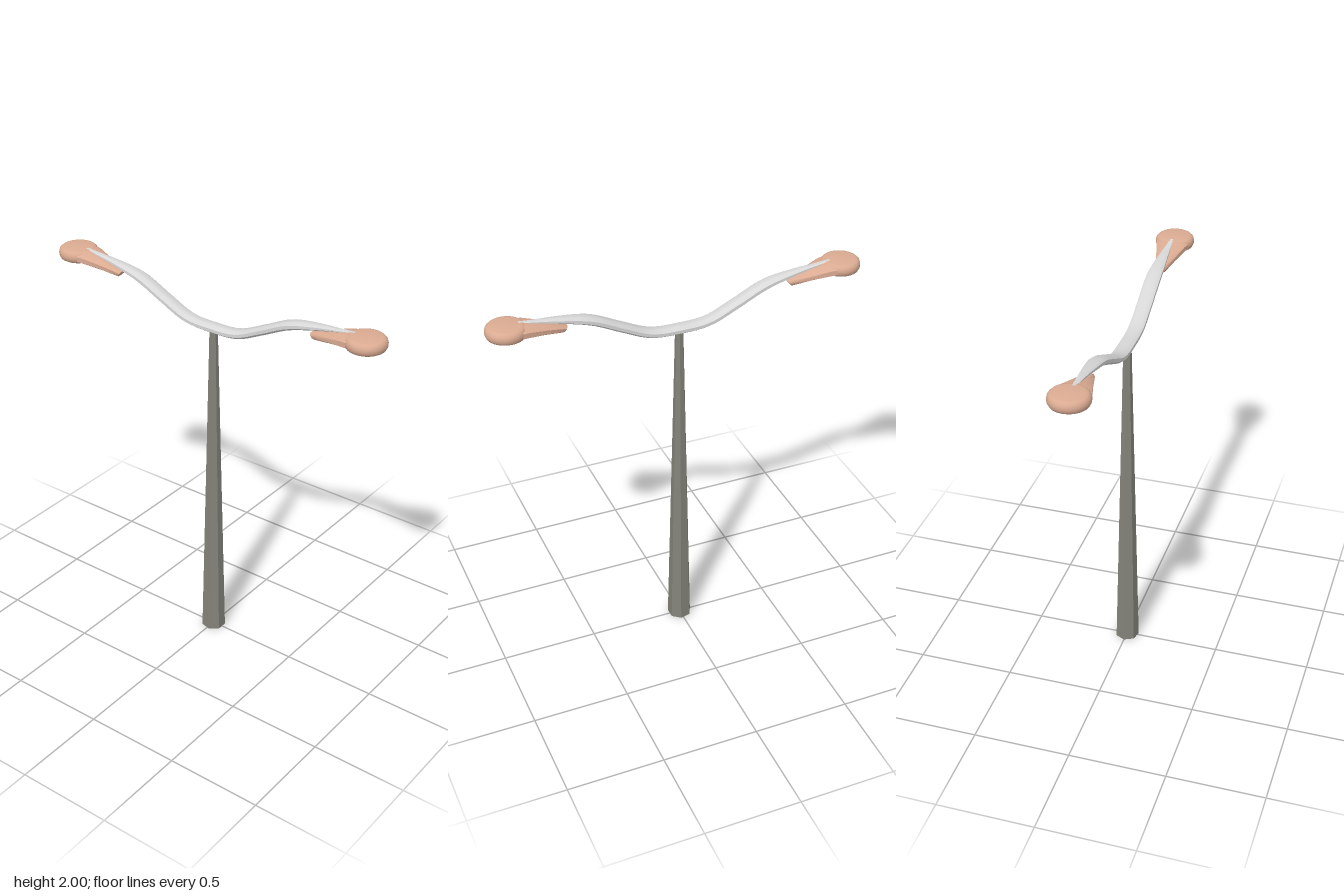
import * as THREE from 'three';
import { toCreasedNormals } from 'three/addons/utils/BufferGeometryUtils.js';

// Bevelled cross-section in unit half-width / half-height
const SECTION = [[1, -0.4], [1, 0.4], [0.55, 1], [-0.55, 1], [-1, 0.4], [-1, -0.4], [-0.55, -1], [0.55, -1]];

// Skin a row of sections { y, z, w, h, tilt } running towards +z
function loft(sections, crease) {
  const pos = [], idx = [], n = SECTION.length;
  for (const { y, z, w, h, tilt } of sections) {
    for (const [u, v] of SECTION) {
      pos.push(u * w, y + v * h * Math.cos(tilt), z - v * h * Math.sin(tilt));
    }
  }
  const last = (sections.length - 1) * n;
  for (let i = 0; i < last; i += n) {
    for (let j = 0; j < n; j++) {
      const k = (j + 1) % n;
      idx.push(i + j, i + k, i + n + k, i + j, i + n + k, i + n + j);
    }
  }
  for (let j = 1; j < n - 1; j++) {
    idx.push(0, j + 1, j, last, last + j, last + j + 1);
  }
  const g = new THREE.BufferGeometry();
  g.setAttribute('position', new THREE.Float32BufferAttribute(pos, 3));
  g.setIndex(idx);
  return toCreasedNormals(g, crease);
}

export function createModel() {
  const model = new THREE.Group();
  model.name = 'doubleStreetLamp';

  const poleGrey = new THREE.MeshStandardMaterial({ color: 0x83837a });
  poleGrey.name = 'pole grey';
  const armGrey = new THREE.MeshStandardMaterial({ color: 0xd8d8d8 });
  armGrey.name = 'arm light grey';
  const copper = new THREE.MeshStandardMaterial({ color: 0xdbab92 });
  copper.name = 'lamp copper';

  const add = (parent, geometry, material, name) => {
    const mesh = new THREE.Mesh(geometry, material);
    mesh.name = name;
    parent.add(mesh);
    return mesh;
  };

  // Tapered seven-sided pole, flat side to the front
  const poleGeo = new THREE.CylinderGeometry(0.021, 0.063, 1.78, 7).rotateY(Math.PI).translate(0, 0.89, 0);
  add(model, toCreasedNormals(poleGeo, 0.5), poleGrey, 'pole');

  // Swept arm: one half of the curve, mirrored through the pole top
  const half = [[0.15, 1.8], [0.3, 1.865], [0.45, 1.935], [0.6, 1.968], [0.72, 1.985], [0.8, 1.995]];
  const points = [
    ...half.map(([z, y]) => new THREE.Vector3(0, y, -z)).reverse(),
    new THREE.Vector3(0, 1.79, 0),
    ...half.map(([z, y]) => new THREE.Vector3(0, y, z)),
  ];
  const curve = new THREE.CatmullRomCurve3(points);
  const armSections = [];
  for (let i = 0; i <= 40; i++) {
    const p = curve.getPointAt(i / 40), t = curve.getTangentAt(i / 40);
    const taper = THREE.MathUtils.smoothstep(Math.abs(p.z), 0.42, 0.84);
    armSections.push({
      y: p.y, z: p.z,
      w: THREE.MathUtils.lerp(0.038, 0.01, taper),
      h: THREE.MathUtils.lerp(0.02, 0.004, taper),
      tilt: Math.atan2(t.y, t.z),
    });
  }
  add(model, loft(armSections, 0.75), armGrey, 'arm');

  // Lamp head: round rim with a recess below, and a tapering neck
  const profile = [
    [0, 1.968], [0.06, 1.968], [0.068, 1.94], [0.08, 1.935], [0.092, 1.942], [0.099, 1.956],
    [0.1, 1.97], [0.096, 1.985], [0.086, 1.995], [0.072, 1.998], [0, 1.998],
  ].map(([r, y]) => new THREE.Vector2(r, y));
  const discGeo = toCreasedNormals(new THREE.LatheGeometry(profile, 32).translate(0, 0, 0.859), 0.8);
  const neckGeo = loft([
    { y: 1.92, z: 0.578, w: 0.024, h: 0.019, tilt: 0.65 },
    { y: 1.944, z: 0.68, w: 0.05, h: 0.025, tilt: 0.2 },
    { y: 1.962, z: 0.77, w: 0.076, h: 0.032, tilt: 0 },
    { y: 1.965, z: 0.8, w: 0.083, h: 0.031, tilt: 0 },
  ], 0.75);
  for (const [name, turn] of [['frontLamp', 0], ['backLamp', Math.PI]]) {
    const lamp = new THREE.Group();
    lamp.name = name;
    lamp.rotation.y = turn;
    add(lamp, discGeo, copper, 'lampDisc');
    add(lamp, neckGeo, copper, 'lampNeck');
    model.add(lamp);
  }
  return model;
}
